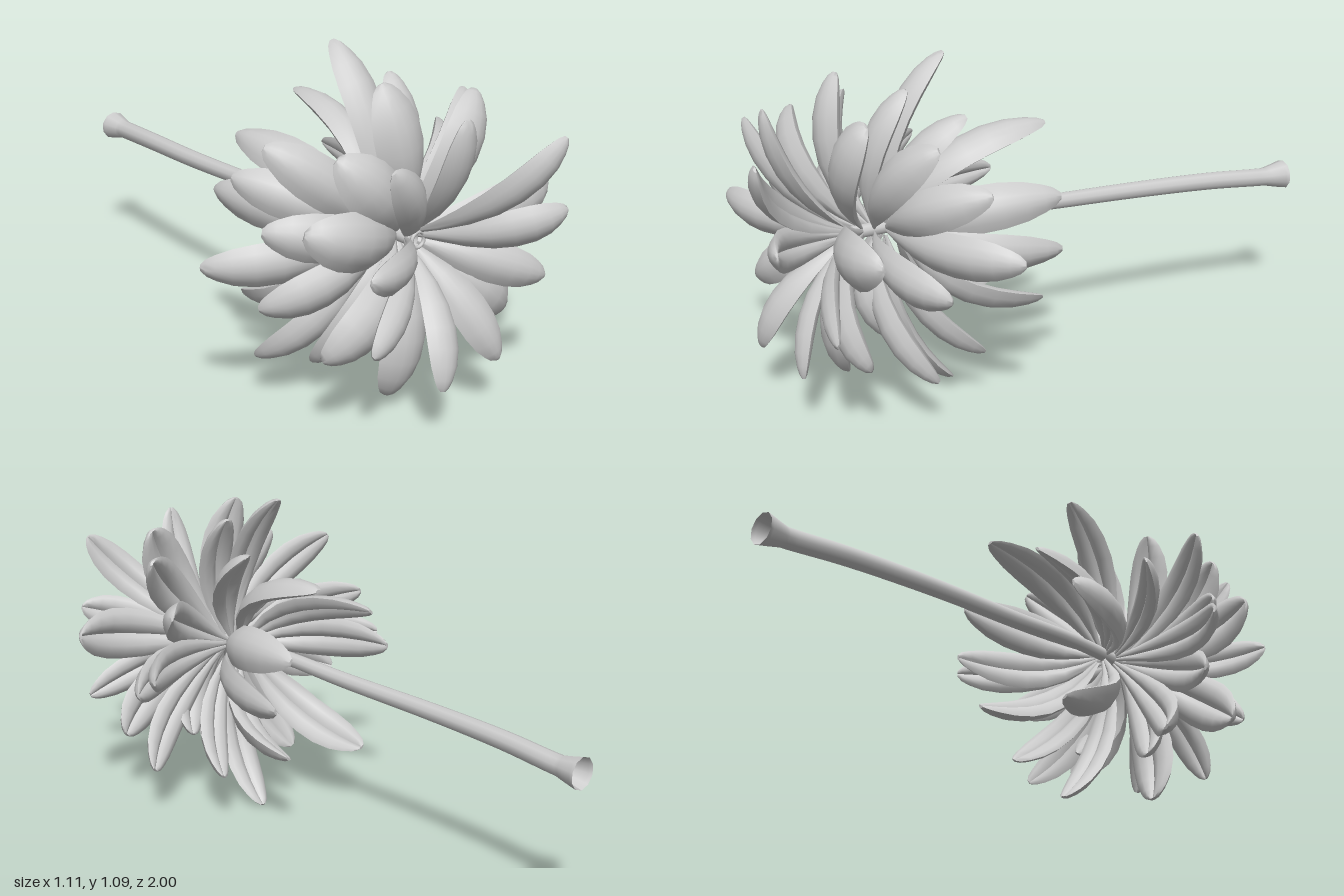
import * as THREE from 'three';
import { toCreasedNormals } from 'three/addons/utils/BufferGeometryUtils.js';

const material = new THREE.MeshStandardMaterial({ color: 0xcccccc, side: THREE.DoubleSide });
const CX = 0.02, CY = 0.55;

// Cross-section of a petal: domed face, and a back with two lobes and a middle groove
const section = [];
for (let i = 0; i <= 6; i++) {
  const u = -1 + i / 3;
  section.push([u, 1 - u * u]);
}
for (const u of [0.8, 0.45, 0.15, 0, -0.15, -0.45, -0.8]) section.push([u, -2.2 * Math.abs(u) * (1 - Math.abs(u))]);

// Petal outline: position along the petal and relative half width, ending in a blunt tip
const outline = [[0, 0.14], [0.12, 0.38], [0.26, 0.68], [0.42, 0.91], [0.57, 1], [0.71, 0.98],
  [0.83, 0.84], [0.92, 0.6], [0.97, 0.4], [1, 0.16]];

// Petal swept along a curve that leaves the core and bends away towards the back
function petalGeometry(tip, ring) {
  const radial = new THREE.Vector3(tip[0] - CX, tip[1] - CY, 0);
  const reach = radial.length();
  radial.normalize();
  const at = (r, z) => new THREE.Vector3(CX, CY, z).addScaledVector(radial, r);
  const curve = new THREE.QuadraticBezierCurve3(
    at(0.025, ring.base), at(reach * ring.bend, ring.bendZ(tip[2])), at(reach, tip[2]));
  const side = new THREE.Vector3(0, 0, 1).cross(radial);
  const n = section.length, pos = [], index = [];
  for (const [t, w] of outline) {
    const p = curve.getPoint(t);
    const normal = curve.getTangent(t).cross(side);
    const half = ring.width / 2 * w;
    for (const [u, v] of section) {
      const q = p.clone().addScaledVector(side, u * half).addScaledVector(normal, v * half * 0.52);
      pos.push(q.x, q.y, q.z);
    }
  }
  for (let i = 0; i < outline.length - 1; i++) {
    for (let j = 0; j < n; j++) {
      const a = i * n + j, b = i * n + (j + 1) % n;
      index.push(a, b, a + n, b, b + n, a + n);
    }
  }
  // close the blunt tip
  const last = (outline.length - 1) * n;
  for (let j = 1; j < n - 1; j++) index.push(last, last + j, last + j + 1);
  const g = new THREE.BufferGeometry();
  g.setAttribute('position', new THREE.Float32BufferAttribute(pos, 3));
  g.setIndex(index);
  return toCreasedNormals(g, 0.9);
}

// Rings of petals from front to back, each given by its tips
const rings = [
  { name: 'frontPetal', base: 0.65, bend: 0.45, width: 0.13, bendZ: z => z - 0.03, tips: [
    [0, 0.98, 0.88], [0.29, 0.9, 0.99], [0.35, 0.66, 0.96], [0.43, 0.38, 0.82], [0.2, 0.18, 0.86],
    [-0.08, 0.18, 0.91], [-0.3, 0.33, 0.85], [-0.37, 0.6, 0.91], [-0.26, 0.88, 0.87]] },
  { name: 'secondPetal', base: 0.6, bend: 0.55, width: 0.18, bendZ: z => z + 0.1, tips: [
    [-0.09, 1.04, 0.62], [0.26, 0.97, 0.65], [0.53, 0.64, 0.71], [0.37, 0.25, 0.7],
    [-0.05, 0.05, 0.64], [-0.36, 0.28, 0.7], [-0.44, 0.69, 0.71], [-0.32, 0.88, 0.7]] },
  { name: 'thirdPetal', base: 0.56, bend: 0.6, width: 0.15, bendZ: z => z + 0.16, tips: [
    [0.09, 1.01, 0.46], [0.39, 0.91, 0.48], [0.47, 0.47, 0.48], [0.4, 0.18, 0.5], [0.2, 0.25, 0.54],
    [-0.19, 0.13, 0.45], [-0.42, 0.38, 0.48], [-0.44, 0.64, 0.52], [-0.41, 0.88, 0.49]] },
  { name: 'fourthPetal', base: 0.52, bend: 0.67, width: 0.14, bendZ: z => z + 0.22, tips: [
    [0, 1.09, 0.3], [0.43, 0.76, 0.33], [0.55, 0.58, 0.28], [0.27, 0.18, 0.29], [0.15, 0.92, 0.29],
    [0.07, 0.01, 0.32], [-0.34, 0.16, 0.36], [-0.55, 0.51, 0.37], [-0.36, 0.72, 0.27]] },
  { name: 'backPetal', base: 0.47, bend: 0.92, width: 0.15, bendZ: () => 0.38, tips: [
    [-0.13, 0.74, -0.01], [0.1, 0.85, 0], [0.22, 0.64, 0], [0.27, 0.48, 0.02],
    [0.19, 0.29, 0.05], [-0.17, 0.23, 0.07], [-0.25, 0.59, 0.03]] },
];

// Stem: round rings along a gentle bend, flaring at the cut end
function stemGeometry() {
  const path = new THREE.CatmullRomCurve3([
    [0.015, 0.49, -1], [0.015, 0.492, -0.92], [-0.002, 0.505, -0.7], [-0.015, 0.515, -0.4],
    [-0.01, 0.53, 0], [0, 0.55, 0.3], [0.02, 0.55, 0.66],
  ].map(p => new THREE.Vector3(...p)));
  const rows = 36, sides = 10;
  const g = new THREE.CylinderGeometry(1, 1, 1, sides, rows, true);
  const pos = g.attributes.position;
  for (let i = 0; i < pos.count; i++) {
    const p = path.getPoint(pos.getY(i) + 0.5);
    const flare = THREE.MathUtils.clamp((-p.z - 0.92) / 0.08, 0, 1);
    const r = 0.026 - 0.007 * p.z + 0.018 * flare;
    pos.setXYZ(i, p.x + pos.getX(i) * r, p.y - pos.getZ(i) * r, p.z);
  }
  g.computeVertexNormals();
  return g;
}

export function createModel() {
  const model = new THREE.Group();
  model.name = 'flower';
  const add = (name, geometry, parent = model) => {
    const mesh = new THREE.Mesh(geometry, material);
    mesh.name = name;
    parent.add(mesh);
    return mesh;
  };

  for (const ring of rings) {
    const group = new THREE.Group();
    group.name = ring.name + 's';
    for (const tip of ring.tips) add(ring.name, petalGeometry(tip, ring), group);
    model.add(group);
  }

  add('stem', stemGeometry());

  // Small open cup at the heart of the flower
  const heart = add('heart', new THREE.TorusGeometry(0.025, 0.006, 8, 16));
  heart.position.set(CX + 0.01, CY, 0.67);
  return model;
}
